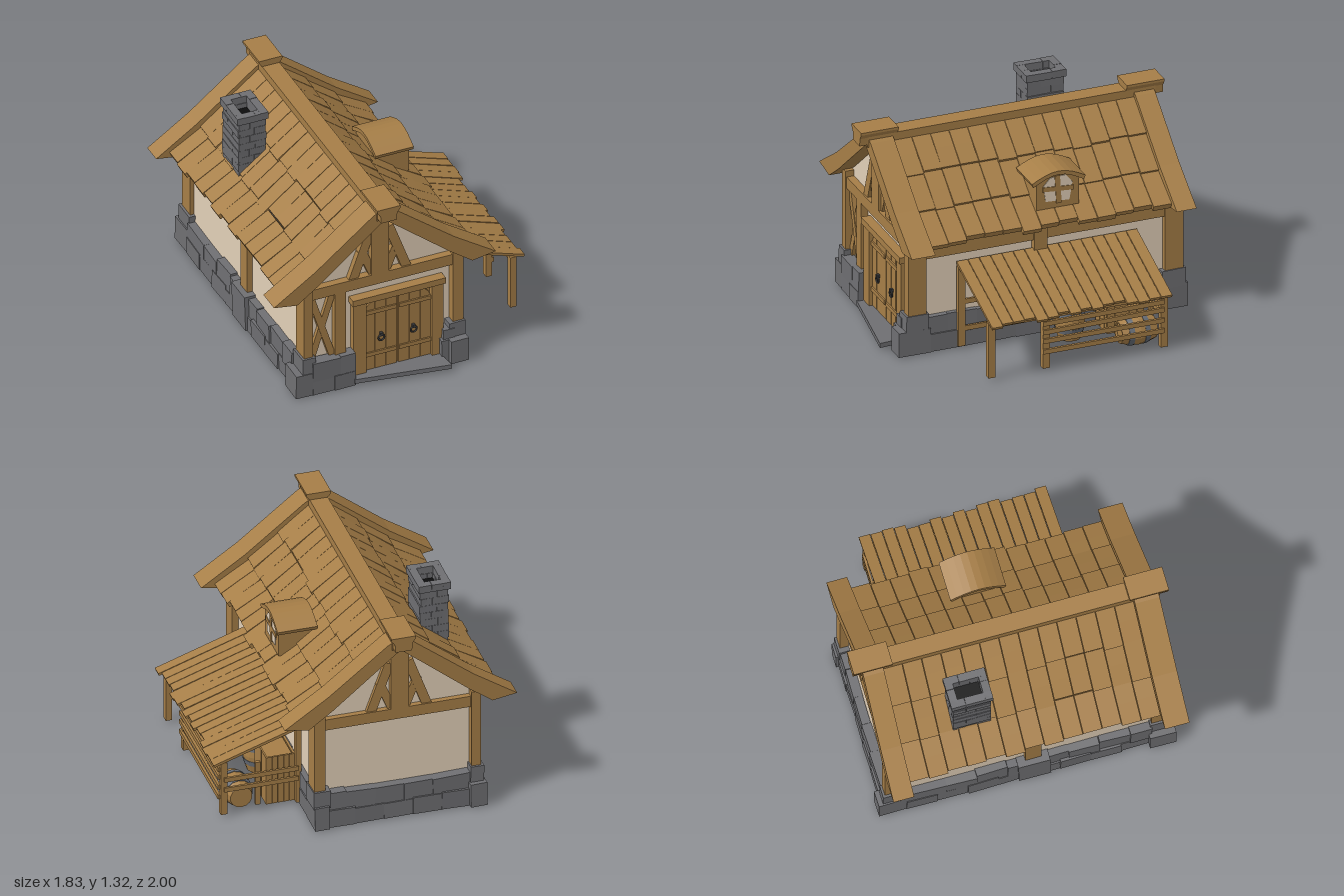
import * as THREE from 'three';

const mat = (name, color, side = THREE.FrontSide) => {
  const m = new THREE.MeshStandardMaterial({ color, side });
  m.name = name;
  return m;
};

export function createModel() {
  const wood = mat('wood', 0xa67e47);
  const plaster = mat('plaster', 0xe2d0b8, THREE.DoubleSide);
  const stone = mat('stone', 0x6f6f72);
  const iron = mat('iron', 0x646a73);
  const darkIron = mat('darkIron', 0x3a3b3d);
  const soot = mat('soot', 0x0c0c0c);
  const root = new THREE.Group();
  root.name = 'cottage';
  const RX = -0.19; // ridge position

  let seed = 7;
  const rnd = (a) => {
    seed = (seed * 16807) % 2147483647;
    return (seed / 2147483647 * 2 - 1) * a;
  };
  const add = (name, geo, m, parent = root) => {
    const mesh = new THREE.Mesh(geo, m);
    mesh.name = name;
    parent.add(mesh);
    return mesh;
  };
  const group = (name) => {
    const g = new THREE.Group();
    g.name = name;
    root.add(g);
    return g;
  };
  const box = (name, m, x0, x1, y0, y1, z0, z1, parent) => {
    const mesh = add(name, new THREE.BoxGeometry(x1 - x0, y1 - y0, z1 - z0), m, parent);
    mesh.position.set((x0 + x1) / 2, (y0 + y1) / 2, (z0 + z1) / 2);
    return mesh;
  };
  // polygon in x,y pushed along z
  const prismGeo = (pts, z0, z1) => {
    const shape = new THREE.Shape(pts.map((p) => new THREE.Vector2(p[0], p[1])));
    return new THREE.ExtrudeGeometry(shape, { depth: z1 - z0, bevelEnabled: false }).translate(0, 0, z0);
  };
  const prism = (name, m, pts, z0, z1, parent) => add(name, prismGeo(pts, z0, z1), m, parent);
  // polygon in z,y pushed along x
  const sidePrism = (name, m, pts, x0, x1, parent) =>
    add(name, prismGeo(pts.map(([z, y]) => [-z, y]), x0, x1).rotateY(Math.PI / 2), m, parent);
  const bar = (name, ax, ay, bx, by, w, z0, z1, parent) => {
    const l = Math.hypot(bx - ax, by - ay), nx = -(by - ay) / l * w / 2, ny = (bx - ax) / l * w / 2;
    return prism(name, wood, [[ax - nx, ay - ny], [bx - nx, by - ny], [bx + nx, by + ny], [ax + nx, ay + ny]], z0, z1, parent);
  };
  const rock = (name, x0, x1, y0, y1, z0, z1, parent, j = 0.03) => {
    const b = box(name, stone, x0, x1, y0, y1, z0, z1, parent);
    b.rotation.set(rnd(j), rnd(j), rnd(j));
    return b;
  };

  // plaster walls
  const walls = group('walls');
  const gable = [[-0.67, 0.18], [0.31, 0.18], [0.31, 0.81], [RX, 1.21], [-0.67, 0.81]];
  for (const z of [0.805, -0.87]) prism('gableWall', plaster, gable, z - 0.005, z + 0.005, walls);
  for (const x of [-0.67, 0.31]) box('sideWall', plaster, x - 0.005, x + 0.005, 0.18, 0.83, -0.87, 0.805, walls);

  // timber frame
  const frame = group('timberFrame');
  for (const [z0, z1] of [[0.745, 0.865], [-0.93, -0.81]]) {
    box('cornerPost', wood, -0.7, -0.64, 0.15, 0.8, z0, z1, frame);
    box('cornerPost', wood, 0.285, 0.355, 0.15, 0.8, z0, z1, frame);
    const a = z0 > 0 ? 0.775 : -0.91, b = z0 > 0 ? 0.858 : -0.835;
    box('tieBeam', wood, -0.65, 0.29, 0.685, 0.76, a, b, frame);
    box('kingPost', wood, -0.25, -0.135, 0.75, 1.2, a, b, frame);
    for (const s of [-1, 1]) {
      bar('outerBrace', RX + s * 0.178, 0.75, RX + s * 0.06, 1.08, 0.06, a + 0.01, b - 0.01, frame);
      bar('innerBrace', RX + s * 0.04, 0.75, RX + s * 0.12, 0.95, 0.052, a + 0.015, b - 0.015, frame);
    }
  }
  box('bayPost', wood, -0.49, -0.42, 0.15, 0.69, 0.765, 0.855, frame);
  bar('crossBrace', -0.64, 0.23, -0.5, 0.68, 0.042, 0.775, 0.835, frame);
  bar('crossBrace', -0.5, 0.23, -0.64, 0.68, 0.042, 0.78, 0.84, frame);
  box('sidePost', wood, -0.71, -0.64, 0.15, 0.8, -0.05, 0.05, frame);
  box('sidePost', wood, 0.28, 0.36, 0.15, 0.8, -0.04, 0.045, frame);
  box('sideBeam', wood, 0.285, 0.345, 0.63, 0.71, -0.82, 0.76, frame);
  box('sideBeam', wood, -0.7, -0.64, 0.65, 0.73, -0.82, 0.76, frame);

  // stone footing: two courses per wall, plus corner blocks
  const footing = group('stoneFooting');
  const course = (along, a, b, c, t, n) => {
    for (let row = 0; row < 2; row++) {
      const y0 = row * 0.095, y1 = row ? 0.235 : 0.12, step = (b - a) / n;
      for (let i = 0; i < n; i++) {
        const p = a + step * i + (i && row ? step * 0.3 : 0);
        const q = a + step * (i + 1) + (i < n - 1 && row ? step * 0.3 : 0);
        const h = t / 2 - row * 0.006 + rnd(0.006), top = y1 + rnd(0.015);
        if (along === 'x') rock('wallStone', p, q, y0 + 0.01, top, c - h, c + h, footing);
        else rock('wallStone', c - h, c + h, y0 + 0.01, top, p, q, footing);
      }
    }
  };
  course('x', -0.65, -0.37, 0.855, 0.08, 2);
  course('x', -0.63, 0.28, -0.905, 0.075, 5);
  course('z', -0.8, 0.74, -0.695, 0.07, 8);
  course('z', -0.8, 0.74, 0.325, 0.065, 8);
  rock('midBlock', -0.745, -0.665, 0.01, 0.25, -0.1, 0.1, footing);
  rock('doorSideStone', 0.2, 0.29, 0.01, 0.17, 0.79, 0.895, footing);
  rock('doorSideStone', 0.215, 0.29, 0.16, 0.235, 0.79, 0.885, footing);
  rock('cornerBlock', -0.76, -0.635, 0.01, 0.17, 0.72, 0.885, footing, 0.02);
  rock('cornerBlock', 0.245, 0.363, 0.01, 0.17, 0.72, 0.93, footing, 0.02);
  rock('cornerBlock', -0.725, -0.62, 0.01, 0.17, -0.975, -0.775, footing, 0.02);
  rock('cornerBlock', 0.265, 0.358, 0.01, 0.17, -0.96, -0.775, footing, 0.02);
  for (const [z0, z1] of [[0.735, 0.88], [-0.945, -0.79]]) {
    rock('cornerBlock', -0.715, -0.63, 0.15, 0.275, z0, z1, footing, 0.02);
    rock('cornerBlock', 0.255, 0.362, 0.15, 0.27, z0, z1, footing, 0.02);
  }
  const step = add('doorstep', prismGeo([[-0.38, -0.9], [0.22, -0.995], [0.2, -0.78], [-0.38, -0.75]], 0, 0.03), stone);
  step.rotation.x = -Math.PI / 2;
  step.position.y = 0.025;

  // double door with arched top
  const door = group('door');
  box('doorPost', wood, -0.37, -0.285, 0.04, 0.58, 0.765, 0.858, door);
  box('doorPost', wood, 0.15, 0.225, 0.04, 0.58, 0.765, 0.858, door);
  box('lintel', wood, -0.38, 0.235, 0.57, 0.612, 0.765, 0.872, door);
  box('doorBacking', wood, -0.3, 0.16, 0.04, 0.575, 0.78, 0.822, door);
  const archY = (u) => 0.46 + 0.1 * Math.sqrt(Math.max(0, 1 - Math.max(0, (u - 0.12) / 0.105) ** 2));
  for (const s of [-1, 1]) {
    for (let i = 0; i < 3; i++) {
      const a = 0.006 + i * 0.073, b = a + 0.071, pts = [[a, 0.045], [b, 0.045]];
      for (let k = 4; k >= 0; k--) pts.push([a + (b - a) * k / 4, archY(a + (b - a) * k / 4)]);
      prism('doorPlank', wood, pts.map(([x, y]) => [-0.068 + s * x, y]), 0.82, 0.835, door);
    }
    for (const y of [0.155, 0.462]) {
      const c = -0.068 + s * 0.115;
      box('doorRail', wood, c - 0.105, c + 0.105, y, y + 0.027, 0.83, 0.845, door);
    }
    const ring = add('ringHandle', new THREE.TorusGeometry(0.02, 0.006, 6, 12), darkIron, door);
    ring.position.set(-0.073 + s * 0.107, 0.277, 0.847);
    box('ringMount', darkIron, ring.position.x - 0.009, ring.position.x + 0.009, 0.29, 0.312, 0.833, 0.855, door);
  }

  // roof: three overlapping courses of boards on each slope
  const roof = group('roof');
  const profile = [[0.03, 1.245], [0.24, 1.07], [0.43, 0.91], [0.632, 0.776]];
  for (const s of [-1, 1]) for (let i = 0; i < 13; i++) {
    const z0 = -0.812 + i * 0.1212, e = rnd(0.01);
    for (let k = 0; k < 3; k++) {
      const [u0, y0] = profile[k], [u1, y1] = profile[k + 1];
      const d = e + rnd(0.006), lift = 0.008 + rnd(0.005), ex = u1 + 0.012 + d, ey = y1 - 0.01 - d * 0.7;
      const pts = [[u0, y0 - 0.006], [(u0 + ex) / 2, (y0 + ey) / 2 + lift * 0.2], [ex, ey + lift],
        [ex - 0.016, ey - 0.025], [u0 - 0.02, y0 - 0.035]];
      prism('roofBoard', wood, pts.map(([u, y]) => [RX + s * u, y]), z0 + 0.0015, z0 + 0.1195, roof);
    }
  }
  const half = [[0.08, 1.235], [0.46, 0.935], [0.735, 0.75], [0.58, 0.725], [0.43, 0.835]];
  const barge = [[RX, 1.28], ...half.map(([u, y]) => [RX + u, y]), [RX, 1.19],
    ...half.slice().reverse().map(([u, y]) => [RX - u, y])];
  prism('bargeBoard', wood, barge, 0.765, 0.92, roof);
  prism('bargeBoard', wood, barge, -0.94, -0.81, roof);
  box('ridgeBeam', wood, RX - 0.057, RX + 0.057, 1.2, 1.27, -0.95, 0.93, roof);
  const cap = [[-0.052, 1.215], [0.052, 1.215], [0.055, 1.265], [0.077, 1.297], [0.077, 1.312], [-0.077, 1.312], [-0.077, 1.297], [-0.055, 1.265]];
  for (const [z0, z1] of [[0.735, 0.98], [-1, -0.755]])
    prism('ridgeCap', wood, cap.map(([x, y]) => [RX + x, y]), z0, z1, roof);

  // chimney of staggered bricks
  const chimney = group('chimney');
  for (let r = 0; r < 10; r++) {
    const y0 = 0.83 + r * 0.0495, y1 = y0 + 0.048, g = r === 9 ? 0.012 : 0;
    const ox = rnd(0.004), x0 = -0.633 - g + ox, x1 = -0.453 + g + ox, z0 = -0.482 - g, z1 = -0.245 + g, w = 0.038 + g;
    const cutZ = z0 + (z1 - z0) * (r % 2 ? 0.35 : 0.62), cutX = x0 + (x1 - x0) * (r % 2 ? 0.6 : 0.4);
    for (const x of [x0, x1 - w]) {
      rock('brick', x, x + w, y0, y1, z0, cutZ - 0.002, chimney, 0.02);
      rock('brick', x, x + w, y0, y1, cutZ, z1, chimney, 0.02);
    }
    for (const z of [z0, z1 - w]) {
      rock('brick', x0 + 0.01, cutX - 0.002, y0, y1, z, z + w, chimney, 0.02);
      rock('brick', cutX, x1 - 0.01, y0, y1, z, z + w, chimney, 0.02);
    }
  }
  box('flue', soot, -0.605, -0.481, 0.85, 1.24, -0.455, -0.272, chimney);

  // dormer with a curved roof
  const dormer = group('dormer');
  const DZ = -0.105;
  const arc = (w, y, h, n = 8) => Array.from({ length: n + 1 }, (_, i) => {
    const t = -1 + 2 * i / n;
    return [DZ + t * w, y + h * Math.cos(t * Math.PI / 2)];
  });
  sidePrism('dormerBody', wood, [[DZ - 0.14, 0.835], ...arc(0.14, 1.02, 0.04), [DZ + 0.14, 0.835]], 0.145, 0.368, dormer);
  sidePrism('dormerRoof', wood, [...arc(0.175, 1.025, 0.06), ...arc(0.165, 1.0, 0.06).reverse()], 0.132, 0.385, dormer);
  sidePrism('windowPane', plaster, [[DZ - 0.075, 0.875], [DZ + 0.08, 0.885], [DZ + 0.095, 0.99], [DZ + 0.05, 1.04], [DZ - 0.05, 1.045], [DZ - 0.095, 0.99]], 0.367, 0.372, dormer);
  const m1 = box('mullion', wood, 0.368, 0.376, 0.865, 1.05, DZ - 0.017, DZ + 0.017, dormer);
  const m2 = box('mullion', wood, 0.368, 0.376, 0.947, 0.977, DZ - 0.1, DZ + 0.1, dormer);
  m1.rotation.x = 0.06;
  m2.rotation.x = -0.08;

  // lean-to shelter
  const shelter = group('shelter');
  for (let i = 0; i < 16; i++) {
    const z0 = -0.635 + i * 0.0738, e = 0.885 + rnd(0.022), y = 0.37 + (0.885 - e) * 0.35 + rnd(0.004);
    prism('shelterBoard', wood, [[0.33, 0.558], [e, y], [e + 0.005, y + 0.016], [0.335, 0.576]], z0, z0 + 0.07, shelter);
  }
  box('outerPurlin', wood, 0.815, 0.845, 0.35, 0.38, -0.62, 0.54, shelter);
  box('innerPurlin', wood, 0.34, 0.37, 0.52, 0.55, -0.62, 0.54, shelter);
  for (const z of [0.5, 0.145, -0.625]) box('shelterPost', wood, 0.81, 0.85, 0.02, 0.385, z, z + 0.045, shelter);
  for (const z of [0.5, -0.625]) box('wallPost', wood, 0.34, 0.375, 0.02, 0.55, z, z + 0.045, shelter);
  for (const y of [0.12, 0.19, 0.255, 0.31]) {
    const r = box('sideRail', wood, 0.845, 0.862, y, y + 0.03, -0.6, 0.19, shelter);
    r.rotation.x = rnd(0.012);
  }
  for (const y of [0.182, 0.252]) box('endRail', wood, 0.36, 0.83, y, y + 0.03, -0.635, -0.62, shelter);
  for (const y of [0.12, 0.3]) box('wallRail', wood, 0.36, 0.375, y, y + 0.032, -0.6, 0.52, shelter);
  box('endPost', wood, 0.6, 0.63, 0.05, 0.35, -0.622, -0.6, shelter);

  // barrels and crate
  const barrel = (name) => {
    const g = group(name);
    const pts = [[0, 0], [0.07, 0], [0.088, 0.06], [0.094, 0.115], [0.088, 0.17], [0.07, 0.23], [0.06, 0.23], [0.06, 0.215], [0, 0.215]];
    const flat = (p) => {
      const geo = new THREE.LatheGeometry(p.map(([x, y]) => new THREE.Vector2(x, y)), 14).toNonIndexed();
      geo.computeVertexNormals();
      return geo;
    };
    add('barrelBody', flat(pts), wood, g);
    add('barrelHoop', flat([[0.08, 0.052], [0.0885, 0.052], [0.094, 0.085], [0.08, 0.085]]), iron, g);
    add('barrelHoop', flat([[0.08, 0.155], [0.093, 0.155], [0.087, 0.188], [0.075, 0.188]]), iron, g);
    return g;
  };
  barrel('standingBarrel').position.set(0.467, 0.003, -0.14);
  const lying = barrel('lyingBarrel');
  lying.rotation.x = Math.PI / 2;
  lying.position.set(0.71, 0.1, -0.59);
  const crate = group('crate');
  box('crateCore', wood, 0.38, 0.545, 0.03, 0.33, -0.58, -0.36, crate);
  for (let i = 0; i < 5; i++) {
    const x = 0.373 + i * 0.036, z = -0.59 + i * 0.048;
    for (const c of [-0.59, -0.36]) box('crateSlat', wood, x, x + 0.033, 0.02, 0.35, c, c + 0.012, crate);
    box('crateSlat', wood, 0.544, 0.555, 0.02, 0.35, z, z + 0.045, crate);
  }
  return root;
}
